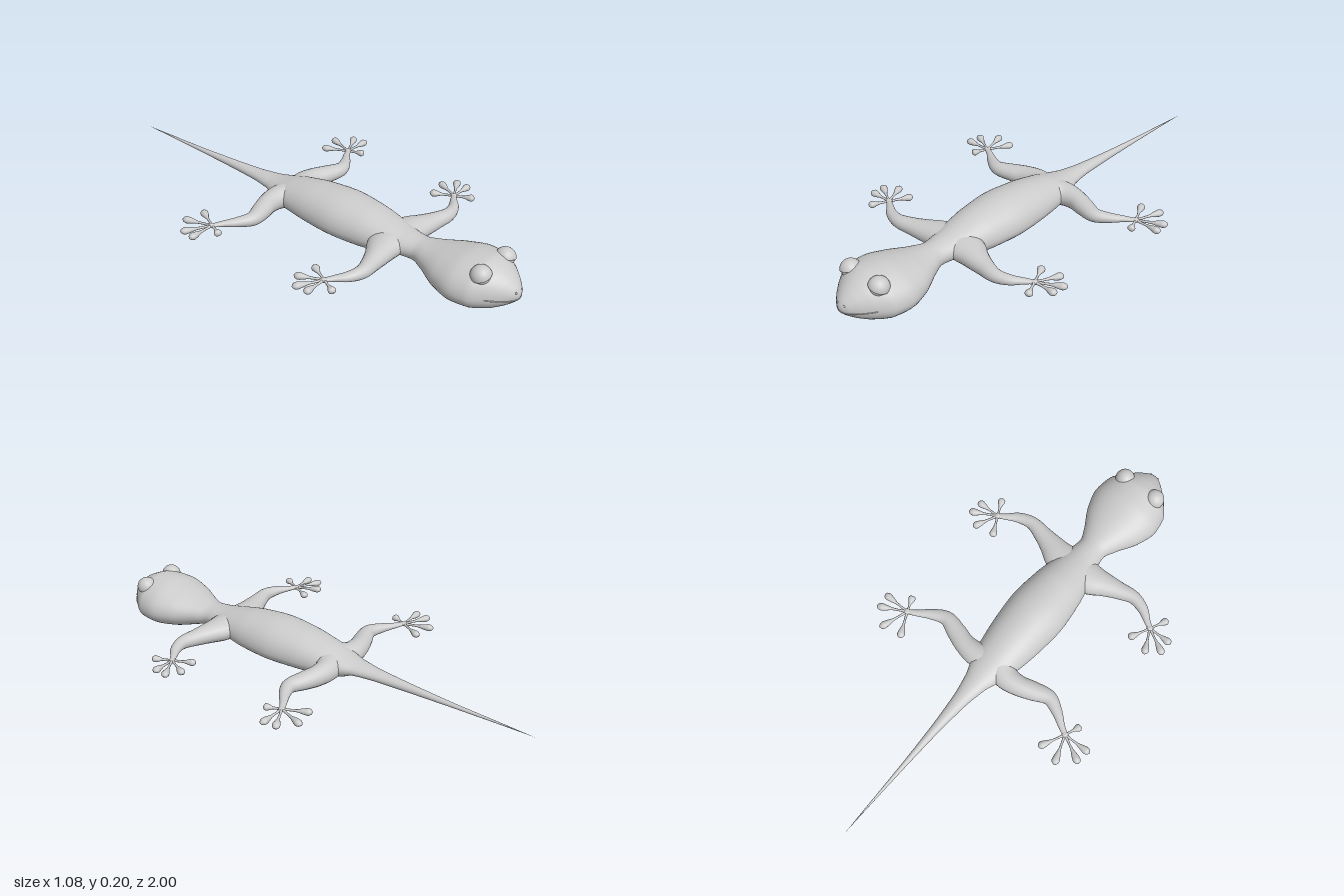
import * as THREE from 'three';

const material = new THREE.MeshStandardMaterial({ color: 0xcccccc });
const UP = new THREE.Vector3(0, 1, 0);

function addMesh(parent, name, geometry) {
  const mesh = new THREE.Mesh(geometry, material);
  mesh.name = name;
  parent.add(mesh);
  return mesh;
}

// Smooth skin through sections [x, y, z, half width, height above, depth below]
function loft(sections, rings, sides) {
  const path = new THREE.CatmullRomCurve3(sections.map((s) => new THREE.Vector3(s[0], s[1], s[2])));
  const size = new THREE.CatmullRomCurve3(sections.map((s) => new THREE.Vector3(s[3], s[4], s[5])));
  const positions = [];
  const index = [];
  for (let i = 0; i <= rings; i++) {
    const t = i / rings;
    const p = path.getPoint(t);
    const r = size.getPoint(t);
    const tangent = path.getTangent(t);
    const side = new THREE.Vector3().crossVectors(UP, tangent).normalize();
    for (let j = 0; j < sides; j++) {
      const a = (j / sides) * Math.PI * 2;
      const w = Math.max(r.x, 0) * Math.cos(a);
      const h = Math.max(Math.sin(a) > 0 ? r.y : r.z, 0) * Math.sin(a);
      positions.push(p.x + side.x * w, p.y + h, p.z + side.z * w);
    }
  }
  for (let i = 0; i < rings; i++) {
    for (let j = 0; j < sides; j++) {
      const k = (j + 1) % sides;
      const a = i * sides + j, b = i * sides + k;
      const c = b + sides, d = a + sides;
      index.push(a, b, d, b, c, d);
    }
  }
  const geometry = new THREE.BufferGeometry();
  geometry.setAttribute('position', new THREE.Float32BufferAttribute(positions, 3));
  geometry.setIndex(index);
  geometry.computeVertexNormals();
  return geometry;
}

// Tail, trunk, neck and head: [z, centre y, half width, above, below]
const BODY = [
  [-1, 0.097, 0, 0, 0],
  [-0.85, 0.098, 0.004, 0.004, 0.004],
  [-0.65, 0.098, 0.01, 0.01, 0.009],
  [-0.45, 0.1, 0.02, 0.018, 0.017],
  [-0.3, 0.102, 0.034, 0.024, 0.022],
  [-0.21, 0.103, 0.052, 0.031, 0.028],
  [-0.15, 0.1, 0.075, 0.046, 0.05],
  [-0.08, 0.096, 0.095, 0.07, 0.06],
  [0.04, 0.095, 0.115, 0.094, 0.065],
  [0.18, 0.095, 0.126, 0.104, 0.069],
  [0.32, 0.095, 0.113, 0.092, 0.067],
  [0.42, 0.098, 0.092, 0.068, 0.06],
  [0.49, 0.1, 0.072, 0.051, 0.046],
  [0.55, 0.1, 0.062, 0.046, 0.046],
  [0.61, 0.098, 0.085, 0.055, 0.06],
  [0.7, 0.091, 0.135, 0.084, 0.079],
  [0.79, 0.086, 0.159, 0.109, 0.084],
  [0.86, 0.084, 0.149, 0.114, 0.08],
  [0.92, 0.085, 0.106, 0.092, 0.066],
  [0.96, 0.087, 0.067, 0.062, 0.046],
  [0.987, 0.089, 0.034, 0.032, 0.027],
  [0.997, 0.09, 0.014, 0.013, 0.012],
  [1, 0.09, 0, 0, 0],
];

// Legs on the +x side: [x, y, z, half width, half height]
const LEGS = {
  front: {
    path: [
      [0.02, 0.1, 0.43, 0.085, 0.05], [0.09, 0.098, 0.443, 0.068, 0.046],
      [0.14, 0.097, 0.458, 0.052, 0.041], [0.2, 0.097, 0.474, 0.038, 0.034],
      [0.27, 0.099, 0.488, 0.028, 0.027], [0.33, 0.1, 0.471, 0.022, 0.019],
      [0.375, 0.101, 0.44, 0.014, 0.011], [0.41, 0.101, 0.417, 0.01, 0.006],
    ],
    foot: [0.405, 0.42],
    toes: [[0.36, 0.33], [0.455, 0.315], [0.515, 0.36], [0.512, 0.42], [0.442, 0.497]],
  },
  back: {
    path: [
      [0.02, 0.1, -0.09, 0.07, 0.055], [0.08, 0.098, -0.115, 0.052, 0.047],
      [0.14, 0.097, -0.112, 0.043, 0.042], [0.2, 0.097, -0.093, 0.04, 0.036],
      [0.27, 0.099, -0.074, 0.031, 0.028], [0.33, 0.1, -0.1, 0.022, 0.019],
      [0.38, 0.101, -0.134, 0.014, 0.011], [0.42, 0.101, -0.157, 0.01, 0.006],
    ],
    foot: [0.415, -0.155],
    toes: [[0.362, -0.262], [0.457, -0.279], [0.53, -0.215], [0.538, -0.153], [0.443, -0.087]],
  },
};

// Distance along toe, half width, half height: thin stem and teardrop pad
const TOE = [
  [0, 0.007, 0.006], [0.3, 0.0045, 0.005], [0.5, 0.006, 0.006], [0.68, 0.012, 0.011],
  [0.84, 0.016, 0.014], [0.95, 0.011, 0.009], [1, 0, 0],
];

function makeLeg(name, side, { path, foot, toes }) {
  const leg = new THREE.Group();
  leg.name = name;
  addMesh(leg, 'limb', loft(path.map(([x, y, z, w, h]) => [x * side, y, z, w, h, h]), 36, 20));
  const palm = addMesh(leg, 'palm', new THREE.SphereGeometry(1, 16, 10));
  palm.scale.set(0.014, 0.009, 0.014);
  palm.position.set(foot[0] * side, 0.101, foot[1]);
  toes.forEach(([x, z], i) => {
    const sections = TOE.map(([t, w, h]) => [
      side * THREE.MathUtils.lerp(foot[0], x, t), 0.101, THREE.MathUtils.lerp(foot[1], z, t), w, h, h,
    ]);
    addMesh(leg, `toe${i + 1}`, loft(sections, 24, 12));
  });
  return leg;
}

export function createModel() {
  const model = new THREE.Group();
  model.name = 'lizard';
  const body = addMesh(model, 'body',
    loft(BODY.map(([z, y, w, top, bottom]) => [0, y, z, w, top, bottom]), 150, 48));

  // Point on the face seen straight from the front
  const onFace = (x, y) => {
    const ray = new THREE.Raycaster(new THREE.Vector3(x, y, 2), new THREE.Vector3(0, 0, -1));
    const hit = ray.intersectObject(body)[0];
    return hit ? hit.point : new THREE.Vector3(x, y, 0.9);
  };

  // Wide smiling mouth line
  const lip = [];
  for (let i = 0; i <= 24; i++) {
    const u = i / 12 - 1;
    lip.push(onFace(u * 0.11 + 0.0001, 0.074 + 0.012 * u * u));
  }
  addMesh(model, 'mouth', new THREE.TubeGeometry(new THREE.CatmullRomCurve3(lip), 72, 0.0025, 8));

  for (const side of [1, -1]) {
    const label = side > 0 ? 'left' : 'right';

    // Eyeball under a slanted upper lid
    const eye = new THREE.Group();
    eye.name = `${label}Eye`;
    eye.position.set(0.078 * side, 0.162, 0.877);
    addMesh(eye, 'eyeball', new THREE.SphereGeometry(0.036, 28, 20));
    const lid = addMesh(eye, 'eyelid', new THREE.SphereGeometry(0.041, 32, 16, 0, Math.PI * 2, 0, Math.PI * 0.5));
    const rim = new THREE.TorusGeometry(0.0385, 0.0025, 8, 40).rotateX(Math.PI / 2);
    const lidRim = addMesh(eye, 'eyelidRim', rim);
    const tilt = new THREE.Vector3(0.28 * side, 1, -0.2).normalize();
    for (const part of [lid, lidRim]) part.quaternion.setFromUnitVectors(UP, tilt);
    model.add(eye);

    const nostril = addMesh(model, `${label}Nostril`, new THREE.SphereGeometry(0.004, 12, 8));
    nostril.position.copy(onFace(0.018 * side, 0.106));

    model.add(makeLeg(`${label}FrontLeg`, side, LEGS.front));
    model.add(makeLeg(`${label}BackLeg`, side, LEGS.back));
  }
  return model;
}
